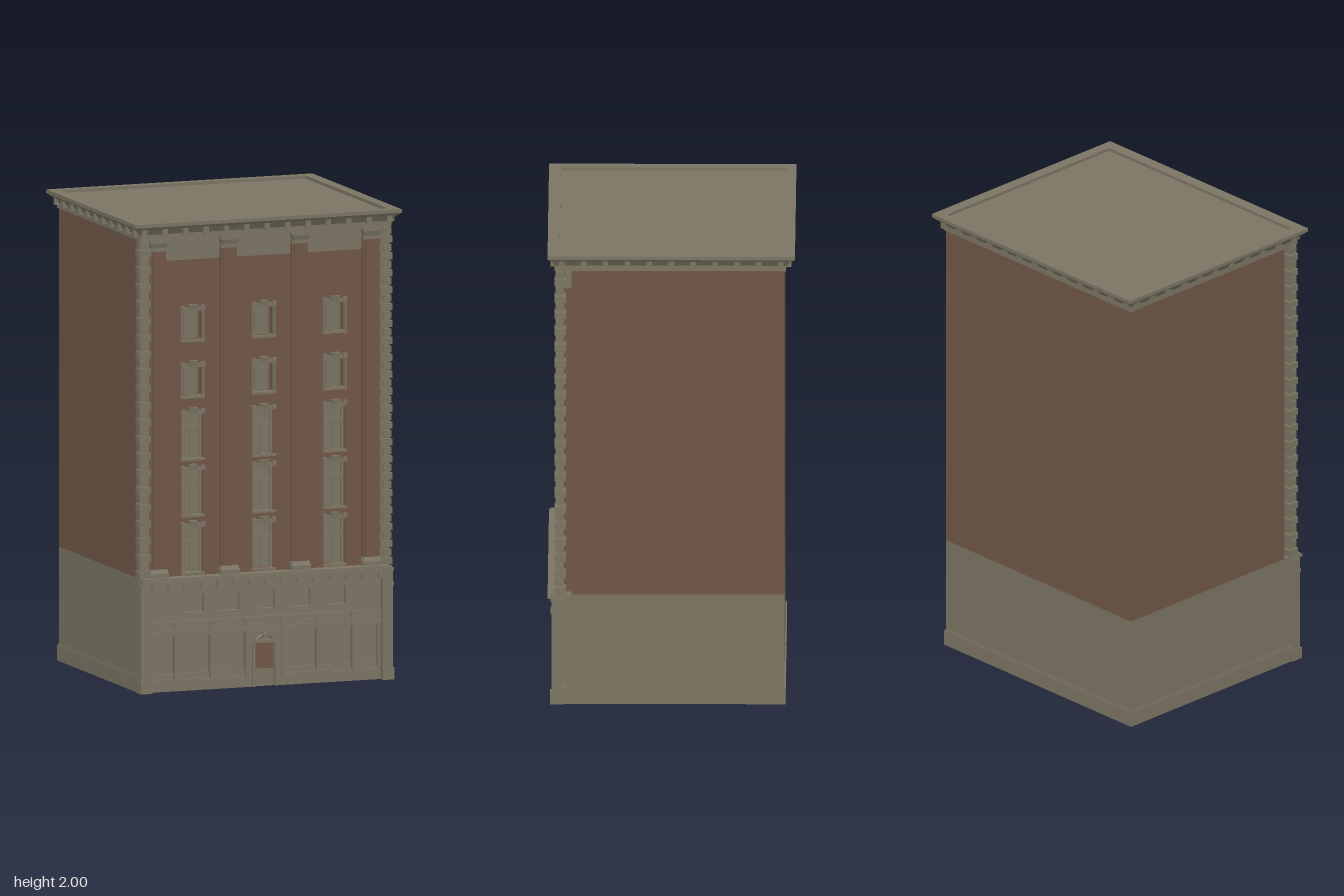
import * as THREE from 'three';

export function createModel() {
  const stone = new THREE.MeshStandardMaterial({ color: 0x7a7462 });
  stone.name = 'stone';
  const brick = new THREE.MeshStandardMaterial({ color: 0x705647 });
  brick.name = 'brick';
  const root = new THREE.Group();
  root.name = 'building';

  const group = (name) => {
    const g = new THREE.Group();
    g.name = name;
    root.add(g);
    return g;
  };
  const add = (parent, name, geometry, material) => {
    const m = new THREE.Mesh(geometry, material);
    m.name = name;
    parent.add(m);
    return m;
  };
  // Box given by its limits; grow widens the top face outwards (negative: narrows)
  const block = (parent, name, mat, x0, x1, y0, y1, z0, z1, grow = 0) => {
    const g = new THREE.BoxGeometry(x1 - x0, y1 - y0, z1 - z0);
    if (grow) {
      const p = g.attributes.position;
      for (let i = 0; i < p.count; i++) {
        if (p.getY(i) < 0) continue;
        p.setX(i, p.getX(i) + Math.sign(p.getX(i)) * grow);
        p.setZ(i, p.getZ(i) + Math.sign(p.getZ(i)) * grow);
      }
      g.computeVertexNormals();
    }
    g.translate((x0 + x1) / 2, (y0 + y1) / 2, (z0 + z1) / 2);
    return add(parent, name, g, mat);
  };
  const rect = (Type, x0, x1, y0, y1) => {
    const s = new Type();
    s.moveTo(x0, y0);
    s.lineTo(x1, y0);
    s.lineTo(x1, y1);
    s.lineTo(x0, y1);
    s.closePath();
    return s;
  };
  // Wall plate with rectangular openings
  const wall = (name, mat, outline, holes, z0, z1) => {
    const s = rect(THREE.Shape, ...outline);
    holes.forEach((h) => s.holes.push(rect(THREE.Path, ...h)));
    const g = new THREE.ExtrudeGeometry(s, { depth: z1 - z0, bevelEnabled: false });
    g.translate(0, 0, z0);
    return add(root, name, g, mat);
  };

  // Main volumes
  const W = 0.56, BACK = -0.475, CORE = 0.42, FACE = 0.455;
  block(root, 'lowerCore', stone, -W, W, 0, 0.485, BACK, 0.45);
  block(root, 'brickCore', brick, -W, W, 0.485, 1.925, BACK, CORE);
  block(root, 'plinth', stone, -0.566, 0.566, 0, 0.065, -0.481, 0.46);
  block(root, 'plinthCap', stone, -0.563, 0.563, 0.065, 0.072, -0.478, 0.46);

  // Windows and the brick front they pierce
  const columns = [-0.32, 0, 0.32];
  const rows = [[0.5, 0.7], [0.745, 0.94], [0.985, 1.18], [1.25, 1.38], [1.49, 1.62]];
  const openings = [];
  const windows = group('windows');
  rows.forEach(([y0, y1], r) => columns.forEach((x) => {
    openings.push([x - 0.048, x + 0.048, y0, y1]);
    const w = new THREE.Group();
    w.name = 'window';
    w.position.x = x;
    windows.add(w);
    const tall = r < 3, hw = tall ? 0.048 : 0.03;
    block(w, 'pane', stone, -hw, hw, y0, y1, CORE, 0.427);
    if (tall) {
      const yt = y0 + (y1 - y0) * 0.62;
      block(w, 'mullion', stone, -0.004, 0.004, y0, yt, 0.427, 0.436);
      block(w, 'transom', stone, -hw, hw, yt, yt + 0.012, 0.427, 0.438);
      for (const s of [-1, 1]) block(w, 'jamb', stone, s * 0.043 - 0.005, s * 0.043 + 0.005, y0, y1, 0.427, 0.44);
    } else {
      for (const s of [-1, 1]) {
        block(w, 'sashStile', stone, s * 0.027 - 0.004, s * 0.027 + 0.004, y0, y1, 0.427, 0.437);
        block(w, 'architrave', stone, s * 0.0495 - 0.003, s * 0.0495 + 0.003, y0, y1, 0.44, 0.462);
      }
    }
    block(w, 'sill', stone, -0.053, 0.053, y0 - 0.01, y0, 0.43, 0.47);
    block(w, 'lintel', stone, -0.05, 0.05, y1 - 0.008, y1 + 0.008, 0.43, 0.467);
    for (const s of [-1, 1]) block(w, 'ear', stone, s * 0.046 - 0.008, s * 0.046 + 0.008, y1 - 0.003, y1 + 0.014, 0.44, 0.47);
    block(w, 'keystone', stone, -0.016, 0.016, y1 - 0.004, y1 + 0.02, 0.44, 0.473, 0.003);
  }));
  wall('brickFront', brick, [-0.52, 0.52, 0.485, 1.83], openings, CORE, FACE);
  block(root, 'frieze', stone, -0.52, 0.52, 1.83, 1.925, CORE, FACE);

  // Pilasters between the window bays
  for (const x of [-0.48, -0.16, 0.16, 0.48]) {
    const p = group('pilaster');
    p.position.x = x;
    block(p, 'shaft', brick, -0.036, 0.036, 0.52, 1.885, FACE, 0.47);
    block(p, 'shaftFace', brick, -0.027, 0.027, 0.52, 1.885, 0.47, 0.48);
    block(p, 'foot', stone, -0.042, 0.042, 0.485, 0.505, FACE, 0.491);
    block(p, 'footTaper', stone, -0.042, 0.042, 0.505, 0.522, 0.45, 0.491, -0.006);
    block(p, 'necking', stone, -0.038, 0.038, 1.875, 1.89, FACE, 0.484);
    block(p, 'capital', stone, -0.034, 0.034, 1.89, 1.91, 0.45, 0.482, 0.006);
    block(p, 'abacus', stone, -0.042, 0.042, 1.91, 1.925, FACE, 0.491);
  }

  // Corner quoins, long and short blocks in turn, on both front corners
  for (const s of [-1, 1]) {
    const q = group('quoins');
    const side = (name, a, b, ...rest) => block(q, name, stone, Math.min(s * a, s * b), Math.max(s * a, s * b), ...rest);
    side('cornerStrip', 0.52, 0.561, 0.485, 1.925, 0.45, 0.478);
    const n = 40, step = 1.44 / n;
    for (let i = 0; i < n; i++) {
      const y = 0.485 + i * step, long = i % 2 === 0;
      side('quoin', long ? 0.518 : 0.53, long ? 0.57 : 0.566, y + 0.003, y + step - 0.004, long ? 0.442 : 0.458, long ? 0.49 : 0.486);
    }
    // Corner piers of the ground storey
    side('pier', 0.522, 0.568, 0, 0.465, 0.46, 0.503);
    side('pierBase', 0.519, 0.572, 0, 0.05, 0.455, 0.51);
    side('pierBand', 0.52, 0.57, 0.4, 0.415, 0.458, 0.507);
  }

  // Ground storey: small upper panels, wide lower bays and the doorway
  const pierces = [[-0.044, 0.042, 0.002, 0.185]];
  for (let i = -2; i <= 2; i++) pierces.push([i * 0.16 - 0.047, i * 0.16 + 0.047, 0.33, 0.405]);
  for (const s of [-1, 1]) {
    for (const [a, b] of [[0.086, 0.234], [0.246, 0.394], [0.406, 0.51]]) {
      pierces.push([Math.min(s * a, s * b), Math.max(s * a, s * b), 0.05, 0.235]);
    }
  }
  wall('groundFront', stone, [-0.522, 0.522, 0, 0.44], pierces, 0.45, 0.472);
  const bands = group('stringCourses');
  block(bands, 'lowerBand', stone, -0.522, 0.522, 0.243, 0.255, 0.46, 0.484);
  block(bands, 'middleBand', stone, -0.522, 0.522, 0.262, 0.27, 0.46, 0.48);
  block(bands, 'upperBand', stone, -0.522, 0.522, 0.288, 0.298, 0.46, 0.486);
  for (const s of [-1, 1]) {
    block(bands, 'baseBand', stone, s < 0 ? -0.522 : 0.06, s < 0 ? -0.06 : 0.522, 0, 0.042, 0.46, 0.48);
    for (const x of [0.08, 0.24, 0.4]) {
      block(bands, 'bayStrip', stone, s * x - 0.005, s * x + 0.005, 0.042, 0.243, 0.46, 0.477);
      block(bands, 'stripBlock', stone, s * x - 0.01, s * x + 0.01, 0.255, 0.288, 0.46, 0.48);
    }
  }

  // Doorway
  const door = group('door');
  block(door, 'doorLeaf', brick, -0.044, 0.042, 0.002, 0.185, 0.448, 0.456);
  for (const s of [-1, 1]) block(door, 'doorJamb', stone, s * 0.051 - 0.006, s * 0.051 + 0.006, 0, 0.185, 0.46, 0.485);
  block(door, 'doorLintel', stone, -0.05, 0.05, 0.185, 0.197, 0.46, 0.487);
  const arch = add(door, 'doorArch', new THREE.TorusGeometry(0.036, 0.007, 6, 14, Math.PI), stone);
  arch.scale.y = 0.65;
  arch.position.set(0, 0.194, 0.475);
  block(door, 'doorKeystone', stone, -0.009, 0.009, 0.205, 0.228, 0.465, 0.49);

  // Ledge above the ground storey
  const ledge = group('ledge');
  block(ledge, 'ledgeBed', stone, -0.522, 0.522, 0.43, 0.45, 0.45, 0.483);
  block(ledge, 'ledgeBody', stone, -0.553, 0.553, 0.445, 0.468, 0.45, 0.497);
  block(ledge, 'ledgeTop', stone, -0.565, 0.565, 0.466, 0.478, 0.455, 0.52);
  block(ledge, 'ledgeCap', stone, -0.56, 0.56, 0.478, 0.486, 0.45, 0.512);
  for (let i = -7; i <= 7; i++) block(ledge, 'ledgeBracket', stone, i * 0.073 - 0.009, i * 0.073 + 0.009, 0.438, 0.466, 0.475, 0.508);

  // Roof cornice with brackets on all four sides
  const cornice = group('cornice');
  block(cornice, 'corniceBed', stone, -0.566, 0.566, 1.925, 1.95, -0.483, 0.488);
  block(cornice, 'corniceFlare', stone, -0.568, 0.568, 1.95, 1.976, -0.486, 0.49, 0.016);
  block(cornice, 'corniceMould', stone, -0.588, 0.588, 1.974, 1.985, -0.508, 0.508, 0.008);
  for (let i = -6; i <= 6; i++) {
    const x = i * 0.092;
    block(cornice, 'frontBracket', stone, x - 0.011, x + 0.011, 1.943, 1.976, 0.48, 0.507);
    block(cornice, 'backBracket', stone, x - 0.011, x + 0.011, 1.943, 1.976, -0.505, -0.475);
  }
  for (let i = -5; i <= 5; i++) {
    for (const s of [-1, 1]) block(cornice, 'sideBracket', stone, s * 0.573 - 0.014, s * 0.573 + 0.014, 1.943, 1.976, i * 0.092 - 0.011, i * 0.092 + 0.011);
  }
  // Raised rim round the sunken flat roof
  const rim = wall('roofRim', stone, [-0.6, 0.6, -0.52, 0.52], [[-0.552, 0.552, -0.47, 0.478]], 0, 0.015);
  rim.geometry.rotateX(-Math.PI / 2).translate(0, 1.985, 0);
  block(root, 'roofDeck', stone, -0.56, 0.56, 1.97, 1.987, -0.485, 0.48);
  return root;
}
